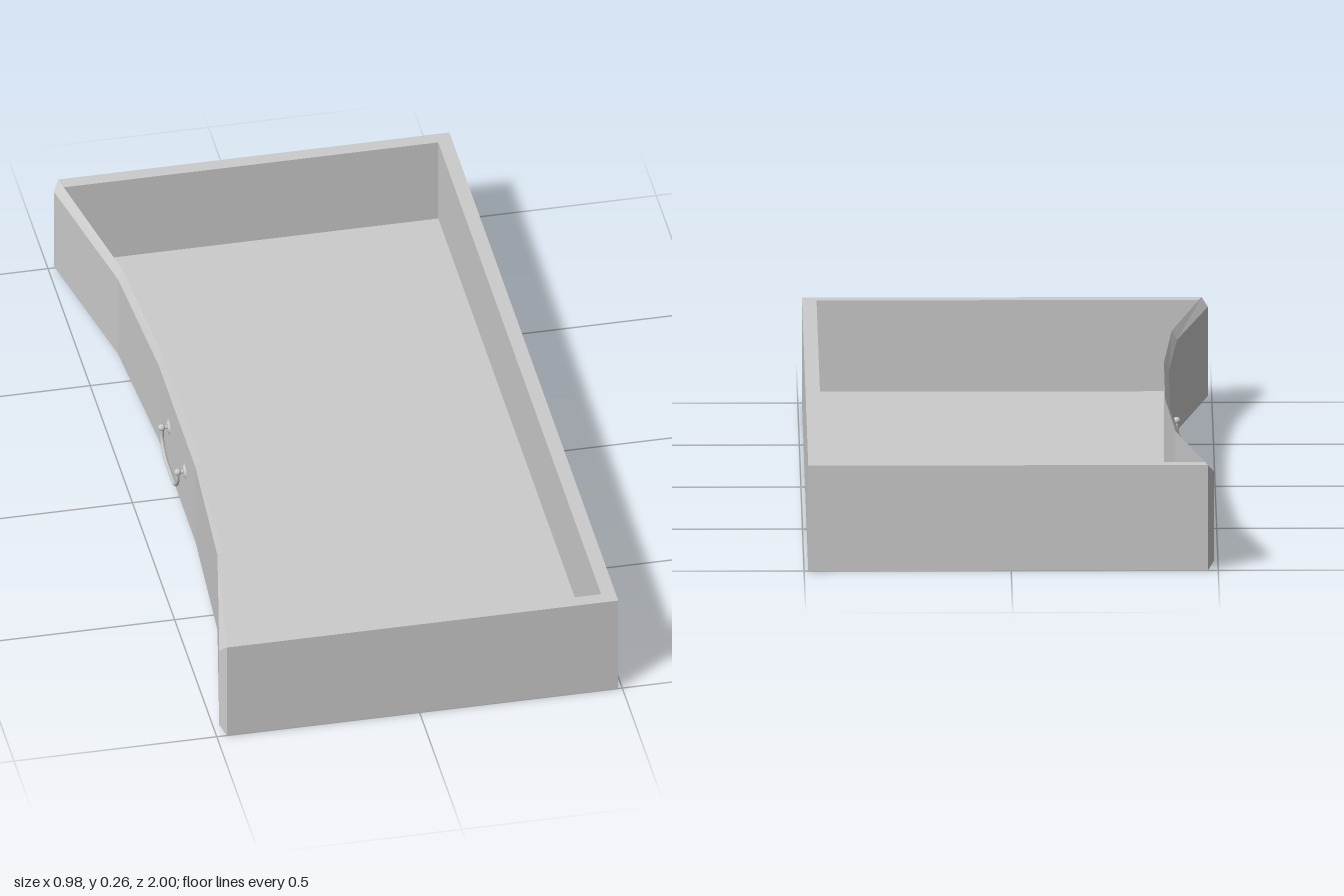
import * as THREE from 'three';

const HEIGHT = 0.26, WALL = 0.035, RIGHT = 0.49, END = 1, BEVEL = 0.02;

// Half of the curved front in plan: [back x, back z, face x, face z]
const half = [
  [-0.378, 0.22, -0.39, 0.22],
  [-0.40, 0.6, -0.413, 0.59],
  [-0.475, END, -0.49, 0.98],
];
const stations = [
  ...half.map(([bx, bz, fx, fz]) => [bx, -bz, fx, -fz]).reverse(),
  ...half,
];

const material = new THREE.MeshStandardMaterial({ color: 0xcccccc });

function addMesh(parent, name, geometry) {
  const mesh = new THREE.Mesh(geometry, material);
  mesh.name = name;
  parent.add(mesh);
  return mesh;
}

// Upright prism from a plan outline of [x, z] points
function prism(points, y0, y1) {
  const shape = new THREE.Shape(points.map(([x, z]) => new THREE.Vector2(x, -z)));
  const geometry = new THREE.ExtrudeGeometry(shape, { depth: y1 - y0, bevelEnabled: false });
  return geometry.rotateX(-Math.PI / 2).translate(0, y0, 0);
}

// Curved panel with bevelled edges, one four-corner section per station
function curvedPanel() {
  const positions = [], index = [];
  for (const [bx, bz, fx, fz] of stations) {
    positions.push(bx, 0, bz, fx, BEVEL, fz, fx, HEIGHT - BEVEL, fz, bx, HEIGHT, bz);
  }
  const quad = (a, b, c, d) => index.push(a, b, c, a, c, d);
  const last = (stations.length - 1) * 4;
  for (let k = 0; k < last; k += 4) {
    for (let j = 0; j < 4; j++) {
      const n = (j + 1) % 4;
      quad(k + j, k + 4 + j, k + 4 + n, k + n);
    }
  }
  quad(0, 1, 2, 3);
  quad(last + 3, last + 2, last + 1, last);
  const geometry = new THREE.BufferGeometry();
  geometry.setAttribute('position', new THREE.Float32BufferAttribute(positions, 3));
  geometry.setIndex(index);
  const flat = geometry.toNonIndexed();
  flat.computeVertexNormals();
  return flat;
}

export function createModel() {
  const drawer = new THREE.Group();
  drawer.name = 'drawer';

  // Floor follows the curve of the front
  const frontLine = stations.map(([x, z]) => [x, z]);
  addMesh(drawer, 'floor', prism([...frontLine, [RIGHT, END], [RIGHT, -END]], 0, WALL));

  // Two ends and the straight back as one U-shaped wall
  const inner = RIGHT - WALL, innerEnd = END - WALL;
  addMesh(drawer, 'walls', prism([
    [-0.475, END], [RIGHT, END], [RIGHT, -END], [-0.475, -END],
    [-0.468, -innerEnd], [inner, -innerEnd], [inner, innerEnd], [-0.468, innerEnd],
  ], WALL, HEIGHT));

  addMesh(drawer, 'frontPanel', curvedPanel());

  // Hanging pull: two roses with posts and a drooping bail
  const handle = new THREE.Group();
  handle.name = 'handle';
  drawer.add(handle);
  const pivotY = 0.143, pivotZ = 0.095;
  for (const side of [-1, 1]) {
    const rose = addMesh(handle, 'handleRose', new THREE.CylinderGeometry(0.012, 0.02, 0.006, 16));
    rose.rotation.z = Math.PI / 2;
    rose.position.set(-0.392, pivotY, side * pivotZ);
    const post = addMesh(handle, 'handlePost', new THREE.CylinderGeometry(0.005, 0.005, 0.016, 10));
    post.rotation.z = Math.PI / 2;
    post.position.set(-0.4, pivotY, side * pivotZ);
    const knob = addMesh(handle, 'handleKnob', new THREE.SphereGeometry(0.009, 12, 8));
    knob.position.set(-0.408, pivotY, side * pivotZ);
  }
  const bailPath = new THREE.CatmullRomCurve3([
    [pivotY, -pivotZ], [0.11, -0.09], [0.085, -0.062], [0.08, 0],
    [0.085, 0.062], [0.11, 0.09], [pivotY, pivotZ],
  ].map(([y, z]) => new THREE.Vector3(-0.408, y, z)));
  addMesh(handle, 'handleBail', new THREE.TubeGeometry(bailPath, 32, 0.005, 8));

  return drawer;
}
